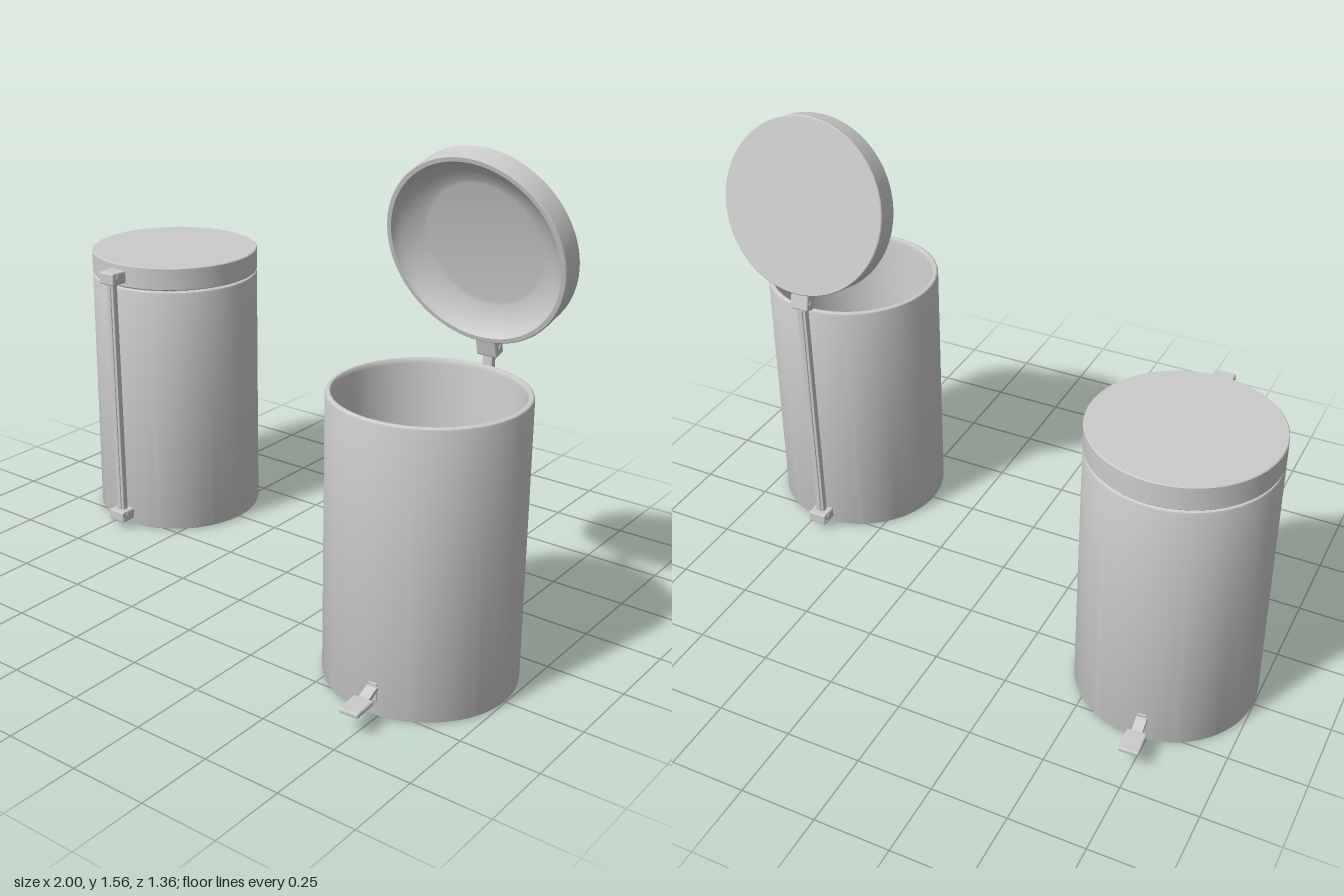
import * as THREE from 'three';
import { toCreasedNormals } from 'three/addons/utils/BufferGeometryUtils.js';
import { RoundedBoxGeometry } from 'three/addons/geometries/RoundedBoxGeometry.js';

const grey = new THREE.MeshStandardMaterial({ color: 0xcccccc });

function add(parent, name, geometry, x = 0, y = 0, z = 0) {
  const mesh = new THREE.Mesh(geometry, grey);
  mesh.name = name;
  mesh.position.set(x, y, z);
  parent.add(mesh);
  return mesh;
}

// Surface of revolution, smooth around but sharp at profile corners
function turned(profile) {
  const points = profile.map(([r, y]) => new THREE.Vector2(r, y));
  return toCreasedNormals(new THREE.LatheGeometry(points, 96), 0.5);
}

const block = (w, h, d, r = 0.006) => new RoundedBoxGeometry(w, h, d, 2, r);

function pin(parent, y, z, radius, length) {
  const mesh = add(parent, 'hingePin', new THREE.CylinderGeometry(radius, radius, length, 20), 0, y, z);
  mesh.rotation.z = Math.PI / 2;
}

// Side outline (z, y) extruded across x
function sideExtrude(outline, width) {
  const shape = new THREE.Shape(outline.map(([z, y]) => new THREE.Vector2(z, y)));
  const geo = new THREE.ExtrudeGeometry(shape, { depth: width, bevelEnabled: false });
  return geo.translate(0, 0, -width / 2).rotateY(-Math.PI / 2);
}

function createBin(name, openAngle) {
  const bin = new THREE.Group();
  bin.name = name;

  // Hollow body with rolled edges and a slightly tapered inner bucket
  add(bin, 'body', turned([
    [0, 0], [0.288, 0], [0.293, 0.003], [0.295, 0.01], [0.295, 0.886], [0.293, 0.892], [0.288, 0.895],
    [0.281, 0.895], [0.277, 0.89], [0.275, 0.88], [0.257, 0.04], [0.25, 0.03], [0, 0.03],
  ]));

  // Lid, dished underneath, swinging on the rear hinge
  const pivotY = 0.942, pivotZ = -0.329;
  const lid = new THREE.Group();
  lid.name = 'lidAssembly';
  lid.position.set(0, pivotY, pivotZ);
  lid.rotation.x = -openAngle;
  bin.add(lid);
  add(lid, 'lid', turned([
    [0, 0.962], [0.188, 0.962], [0.2, 0.96], [0.235, 0.945], [0.262, 0.926], [0.274, 0.912], [0.279, 0.9],
    [0.292, 0.9], [0.295, 0.903], [0.295, 0.977], [0.292, 0.98], [0, 0.98],
  ]), 0, -pivotY, -pivotZ);
  add(lid, 'lidBracket', block(0.068, 0.044, 0.066), 0, -0.004, 0.008);
  pin(lid, 0, 0, 0.009, 0.074);

  // Lifting rod up the back: a strap with a raised central rib
  const rod = new THREE.Group();
  rod.name = 'liftRod';
  rod.position.set(0, 0.485, -0.321);
  rod.rotation.x = -0.014;
  bin.add(rod);
  add(rod, 'rodStrap', block(0.032, 0.89, 0.022, 0.003));
  add(rod, 'rodRib', block(0.012, 0.86, 0.008, 0.003), 0, 0, -0.011);

  // Bottom bracket with two rivets
  add(bin, 'bottomBracket', block(0.068, 0.04, 0.062), 0, 0.045, -0.319);
  pin(bin, 0.05, -0.325, 0.008, 0.073);
  pin(bin, 0.036, -0.34, 0.005, 0.072);

  // Foot pedal, slightly skewed, emerging from a wall plate
  const pedal = new THREE.Group();
  pedal.name = 'pedal';
  pedal.position.set(0.028, 0, 0.285);
  pedal.rotation.y = 0.07;
  bin.add(pedal);
  add(pedal, 'wallPlate', block(0.04, 0.06, 0.022, 0.004), 0, 0.078, 0).scale.x = 0.7;
  add(pedal, 'pedalArm', sideExtrude([
    [-0.02, 0.084], [-0.02, 0.096], [0.015, 0.096], [0.055, 0.082], [0.1, 0.08], [0.1, 0.068], [0.05, 0.068], [0.015, 0.084],
  ], 0.034));
  add(pedal, 'pedalPlate', block(0.064, 0.016, 0.088, 0.006), 0, 0.074, 0.098);

  return bin;
}

export function createModel() {
  const model = new THREE.Group();
  model.name = 'pedalBins';

  const openBin = createBin('openBin', THREE.MathUtils.degToRad(76));
  openBin.position.set(0.705, 0, 0.25);

  // The closed bin faces the other way
  const closedBin = createBin('closedBin', 0);
  closedBin.position.set(-0.705, 0, -0.25);
  closedBin.rotation.y = Math.PI;

  model.add(openBin, closedBin);
  return model;
}
